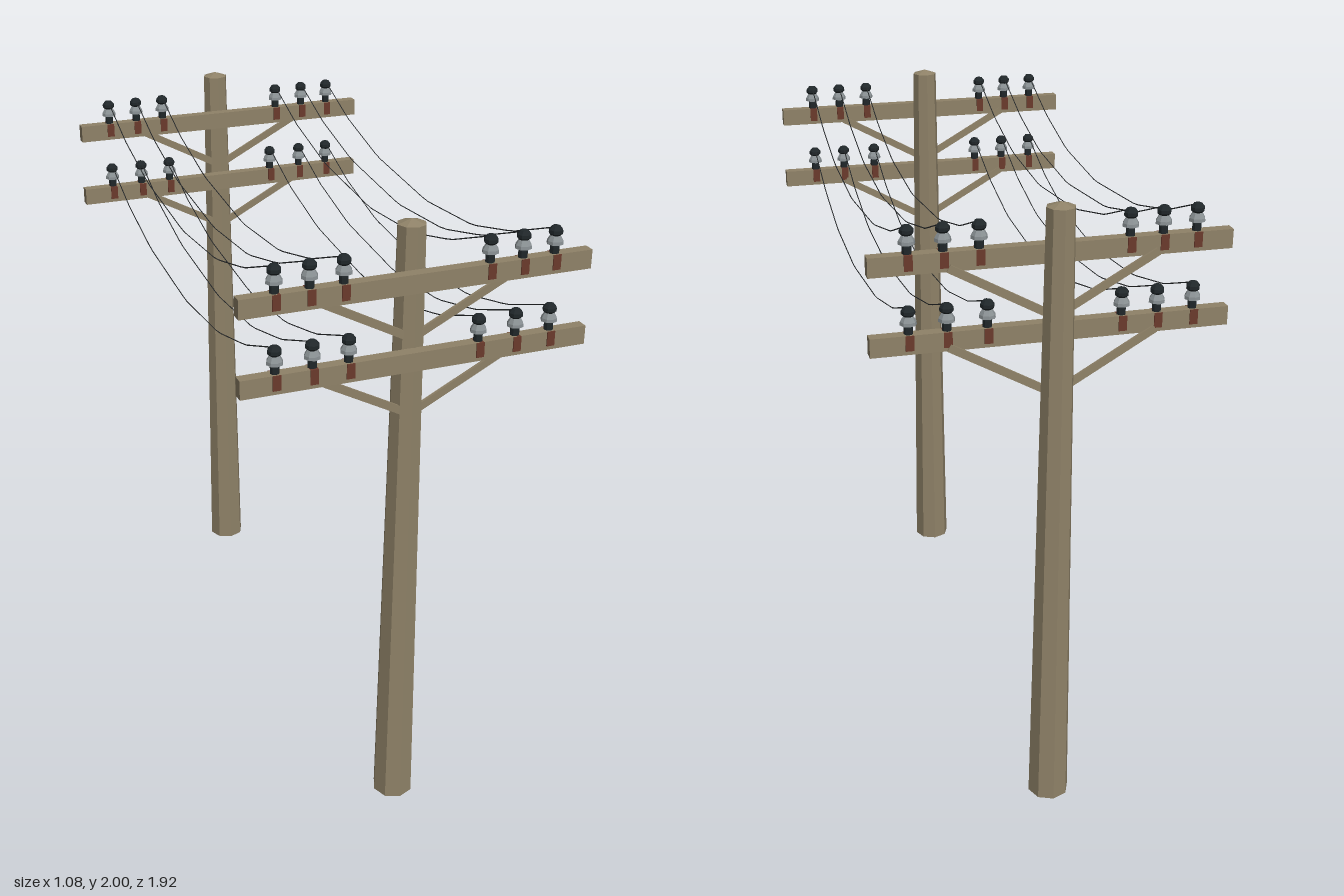
import * as THREE from 'three';

const mat = (color, extra = {}) => new THREE.MeshStandardMaterial({ color, flatShading: true, ...extra });
const wood = mat(0x8f8268);
const dark = mat(0x20272a);
const glaze = mat(0x8a9194);
const rust = mat(0x6b3a2c);
const wireMat = mat(0x25282a);

const ARM_OFFSET = 0.062; // crossarm centre in front of the pole axis
const POLES = [0.875, -0.892];
const TIERS = [
  { y: 1.835, braceFoot: 1.665, pins: [-0.43, -0.328, -0.228, 0.217, 0.321, 0.423] },
  { y: 1.597, braceFoot: 1.425, pins: [-0.43, -0.319, -0.21, 0.193, 0.312, 0.423] },
];

function add(parent, name, geometry, material, x = 0, y = 0, z = 0) {
  const mesh = new THREE.Mesh(geometry, material);
  mesh.name = name;
  mesh.position.set(x, y, z);
  parent.add(mesh);
  return mesh;
}

const lathe = (pts) => new THREE.LatheGeometry(pts.map(([r, y]) => new THREE.Vector2(r, y)), 8);

// Insulator pieces, measured from the top of the crossarm
const stemGeo = lathe([[0, -0.012], [0.014, -0.012], [0.014, 0.02], [0.011, 0.032], [0, 0.032]]);
const skirtGeo = lathe([[0, 0.028], [0.025, 0.028], [0.024, 0.038], [0.014, 0.055], [0, 0.055]]);
const knobGeo = lathe([[0, 0.052], [0.013, 0.052], [0.021, 0.06], [0.021, 0.07], [0.012, 0.081], [0, 0.083]]);
const clampGeo = new THREE.BoxGeometry(0.025, 0.046, 0.042);

function makeInsulator(x, armTop, z) {
  const g = new THREE.Group();
  g.name = 'insulator';
  g.position.set(x, armTop, z);
  add(g, 'clamp', clampGeo, rust, 0, -0.023, 0);
  add(g, 'stem', stemGeo, dark);
  add(g, 'skirt', skirtGeo, glaze);
  add(g, 'knob', knobGeo, dark);
  return g;
}

// Flat diagonal strut between two points
function makeBrace(parent, a, b) {
  const brace = add(parent, 'brace', new THREE.BoxGeometry(0.024, 0.009, a.distanceTo(b)), wood);
  const dir = b.clone().sub(a).normalize();
  const thin = new THREE.Vector3(0, 0, 1).addScaledVector(dir, -dir.z).normalize();
  const wide = new THREE.Vector3().crossVectors(thin, dir);
  brace.quaternion.setFromRotationMatrix(new THREE.Matrix4().makeBasis(wide, thin, dir));
  brace.position.copy(a).add(b).multiplyScalar(0.5);
}

function makePole(z) {
  const g = new THREE.Group();
  g.name = 'utilityPole';
  g.position.z = z;
  // Tapered eight-sided pole with a shallow pointed top
  add(g, 'pole', lathe([[0, 0], [0.066, 0], [0.043, 1.986], [0, 2]]), wood);
  for (const { y, braceFoot, pins } of TIERS) {
    add(g, 'crossarm', new THREE.BoxGeometry(1.076, 0.058, 0.036), wood, 0, y, ARM_OFFSET);
    for (const s of [-1, 1]) {
      makeBrace(g, new THREE.Vector3(s * 0.31, y - 0.018, 0.043),
        new THREE.Vector3(s * 0.025, braceFoot - 0.002, 0.03));
    }
    for (const x of pins) g.add(makeInsulator(x, y + 0.029, ARM_OFFSET));
  }
  return g;
}

// Sagging wire made of straight segments: [z, drop below the insulator tops]
const SAG = [[0.937, 0], [0.69, 0.096], [0.43, 0.162], [0.09, 0.188],
  [-0.32, 0.152], [-0.6, 0.085], [-0.83, -0.002]];

function makeWire(x, top) {
  const path = new THREE.CurvePath();
  const pts = SAG.map(([z, d]) => new THREE.Vector3(x, top - d, z));
  for (let i = 1; i < pts.length; i++) path.add(new THREE.LineCurve3(pts[i - 1], pts[i]));
  return new THREE.TubeGeometry(path, 36, 0.0018, 4);
}

export function createModel() {
  const model = new THREE.Group();
  model.name = 'utilityLine';
  for (const z of POLES) model.add(makePole(z));
  for (const { y, pins } of TIERS) {
    for (const x of pins) add(model, 'wire', makeWire(x, y + 0.106), wireMat);
  }
  return model;
}
